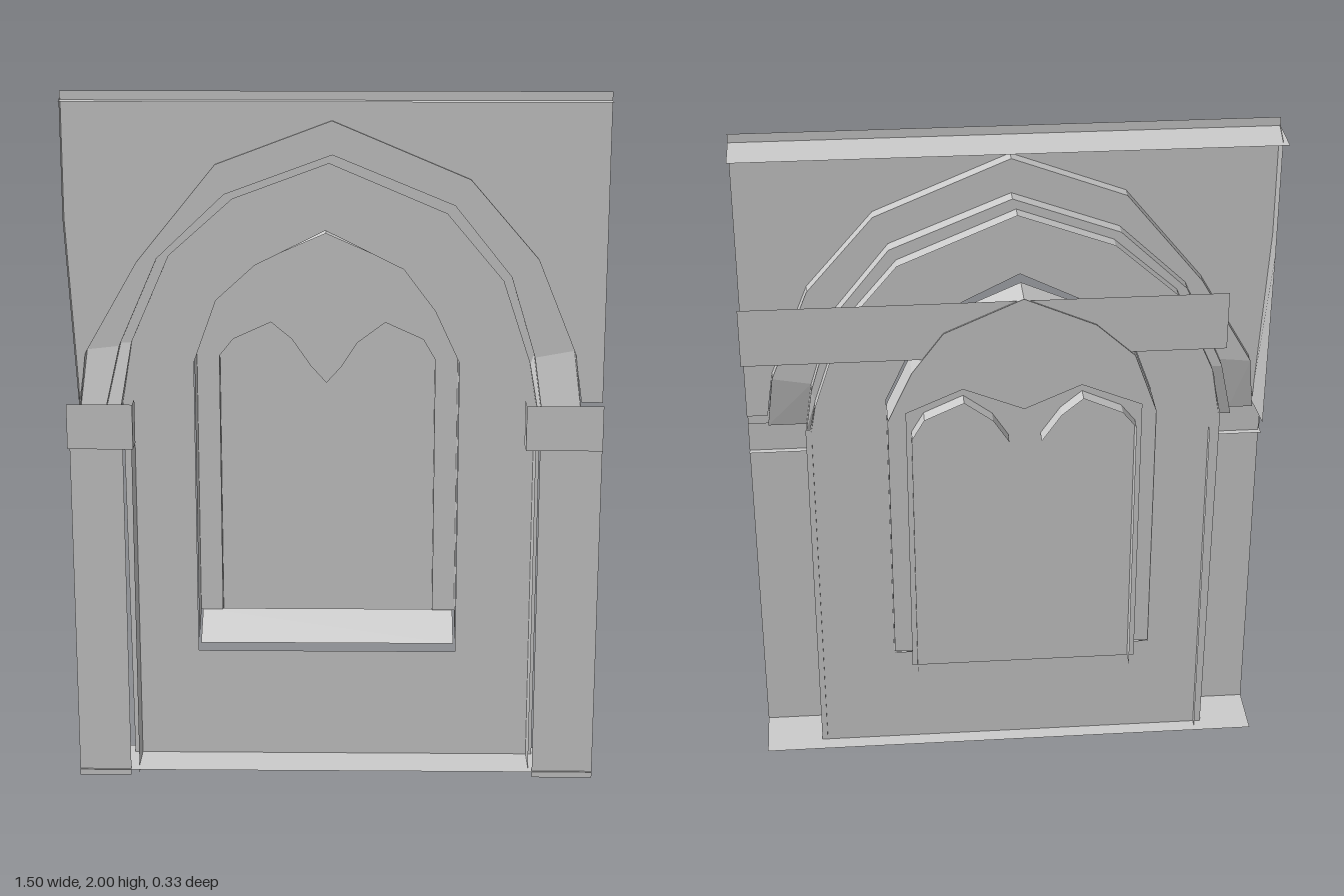
import * as THREE from 'three';

const material = new THREE.MeshStandardMaterial({ color: 0xcccccc, side: THREE.DoubleSide, flatShading: true });

export function createModel() {
  const group = new THREE.Group();

  function add(name, geometry, z = 0) {
    const mesh = new THREE.Mesh(geometry, material);
    mesh.name = name;
    mesh.position.z = z;
    group.add(mesh);
  }
  const toPoints = (list) => list.map(([x, y]) => new THREE.Vector2(x, y));

  // Flat upright sheet with optional holes
  function sheet(name, outline, z, holes = []) {
    const shape = new THREE.Shape(toPoints(outline));
    holes.forEach((h) => shape.holes.push(new THREE.Path(toPoints(h))));
    add(name, new THREE.ShapeGeometry(shape), z);
  }

  // Ruled surface between two lines of [x, y, z] points
  function ruled(name, lineA, lineB) {
    const pos = [];
    const index = [];
    lineA.forEach((p, i) => {
      pos.push(...p, ...lineB[i]);
      const a = 2 * i;
      if (i < lineA.length - 1) index.push(a, a + 1, a + 2, a + 1, a + 3, a + 2);
    });
    const g = new THREE.BufferGeometry();
    g.setAttribute('position', new THREE.Float32BufferAttribute(pos, 3));
    g.setIndex(index);
    const flat = g.toNonIndexed();
    flat.computeVertexNormals();
    add(name, flat);
  }

  const rect = (x0, y0, x1, y1) => [[x0, y0], [x1, y0], [x1, y1], [x0, y1]];
  const atDepth = (line, z) => line.map(([x, y]) => [x, y, z]);
  const reveal = (name, line, z0, z1, backLine = line) => ruled(name, atDepth(line, z0), atDepth(backLine, z1));

  // Three nested pointed arches, each listed from -x to +x
  const outerArch = [[-0.72, 1.13], [-0.7, 1.27], [-0.55, 1.53], [-0.33, 1.8], [-0.01, 1.92],
    [0.37, 1.76], [0.56, 1.54], [0.67, 1.27], [0.69, 1.13]];
  const middleArch = [[-0.65, 1.13], [-0.61, 1.28], [-0.5, 1.53], [-0.31, 1.71], [-0.01, 1.82],
    [0.33, 1.68], [0.49, 1.48], [0.56, 1.25], [0.58, 1.13]];
  const innerArch = [[-0.61, 1.13], [-0.58, 1.28], [-0.47, 1.53], [-0.29, 1.69], [-0.02, 1.79],
    [0.31, 1.65], [0.47, 1.46], [0.55, 1.22], [0.57, 1.13]];

  // Spandrel wall above the arch, with its one closed side
  sheet('spandrel', [[-0.75, 2], [-0.75, 1.65], ...outerArch, [0.75, 1.13], [0.75, 2]], 0.124);
  reveal('spandrelSide', [[-0.75, 1.98], [-0.75, 1.65], [-0.72, 1.11]], 0.14, 0.005,
    [[-0.735, 1.98], [-0.735, 1.65], [-0.73, 1.11]]);

  // Stepped arch mouldings, whose feet lean forward onto the capitals
  const footed = (line, z, footZ) => line.map(([x, y], i) => {
    const foot = i === 0 || i === line.length - 1;
    return [x, foot ? 1.1 : y, foot ? footZ : z];
  });
  const steps = [
    footed(outerArch, 0.14, 0.14), footed(outerArch, 0.085, 0.12),
    footed(middleArch, 0.085, 0.12), footed(middleArch, 0.043, 0.085),
    footed(innerArch, 0.043, 0.085), footed(innerArch, 0, 0.035),
  ];
  ['outerSoffit', 'outerMoulding', 'middleSoffit', 'innerMoulding', 'innerSoffit']
    .forEach((name, i) => ruled(name, steps[i], steps[i + 1]));

  // Recessed wall with the window opening
  const opening = [[-0.405, 0.345], [-0.405, 1.22], [-0.34, 1.4], [-0.23, 1.5], [-0.03, 1.6],
    [0.19, 1.49], [0.28, 1.37], [0.35, 1.22], [0.35, 0.345]];
  sheet('recessedWall', [[-0.6, 0.02], ...innerArch, [0.582, 1.13], [0.582, 0.02]], 0.031, [opening]);

  // Window lining and sloping sill
  const lining = opening.map(([x, y]) => [x, y < 0.5 ? 0.365 : Math.min(y, 1.587)]);
  const liningBack = lining.map(([x, y]) => [x, Math.max(y, 0.43)]);
  reveal('windowLining', lining, 0.005, -0.098, liningBack);
  reveal('sill', [[-0.4, 0.36], [0.345, 0.36]], 0.005, -0.098, [[-0.4, 0.43], [0.345, 0.43]]);

  // Tracery panel, cut away below for the pair of lancets
  const lancets = [
    [[-0.34, 0.4], [-0.34, 1.21], [-0.3, 1.26], [-0.19, 1.31], [-0.13, 1.26], [-0.075, 1.18]],
    [[0.015, 1.18], [0.06, 1.25], [0.14, 1.31], [0.25, 1.26], [0.285, 1.2], [0.285, 0.4]],
  ];
  sheet('tracery', [[-0.405, 0.43], [-0.34, 0.43], ...lancets[0].slice(1), [-0.03, 1.13],
    ...lancets[1].slice(0, 5), [0.285, 0.43], ...liningBack.slice(1).reverse()], -0.09);
  lancets.forEach((line) => reveal('lancetReveal', line, -0.095, -0.168));

  // Blind panel filling both lancets
  sheet('blindPanel', [[-0.36, 0.4], [0.3, 0.4], [0.3, 1.26], [0.14, 1.33], [-0.03, 1.26],
    [-0.19, 1.33], [-0.36, 1.26]], -0.122);

  // Backing strip behind the window head
  sheet('backingStrip', rect(-0.595, 1.41, 0.745, 1.58), -0.093);

  // Side piers: front sheet, inner return and open capital
  [
    { pier: [-0.75, -0.6], cap: [-0.755, -0.57], inner: -0.578, capInner: -0.57 },
    { pier: [0.575, 0.75], cap: [0.535, 0.75], inner: 0.565, capInner: 0.535 },
  ].forEach(({ pier, cap, inner, capInner }) => {
    sheet('pier', rect(pier[0], 0, pier[1], 1.09), 0.153);
    reveal('pierReturn', [[inner, 0], [inner, 1.09]], 0.135, 0.005);
    sheet('capital', rect(cap[0], 1, cap[1], 1.13), 0.165);
    reveal('capitalSide', [[capInner, 1], [capInner, 1.13]], 0.165, 0.1);
    reveal('capitalUnderside', [[cap[0], 1], [cap[1], 1]], 0.165, 0.135);
  });

  // Thin top and bottom ledges
  reveal('topLedge', [[-0.75, 1.975], [0.75, 1.975]], 0.165, -0.015);
  reveal('bottomLedge', [[-0.75, 0.02], [0.75, 0.02]], 0.16, -0.015);

  return group;
}
